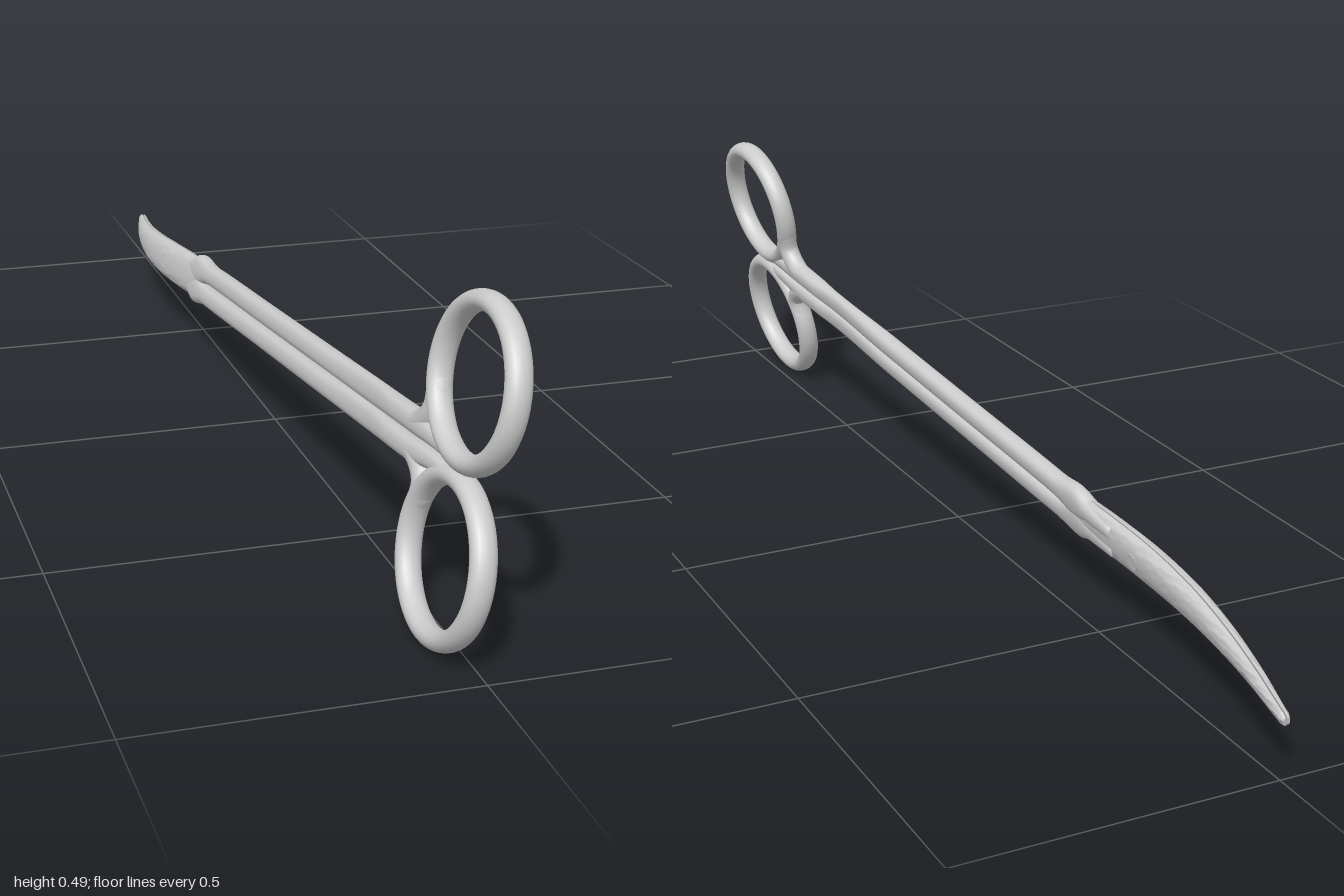
import * as THREE from 'three';
import { toCreasedNormals } from 'three/addons/utils/BufferGeometryUtils.js';

const steel = new THREE.MeshStandardMaterial({ color: 0xcccccc });
const TILT = 0.2; // lean of the scissor plane towards +x
const SIDE = new THREE.Vector3(1, -TILT, -0.03).normalize();

// Centre line of the closed shanks
const axisX = z => -0.022 + 0.04 * z;
const axisY = z => 0.1775 + 0.0836 * z;
const inPlane = (z, y) => new THREE.Vector3(axisX(z) + TILT * (y - axisY(z)), y, z);

// Sweep a section along stations { p, h, w }: h is half height, w half thickness.
// half = 0 gives a full oval; +1 or -1 keeps only that side, with a flat inner face.
function sweep(stations, { closed = false, half = 0, power = 1, steps = 48, sides = 20 } = {}) {
  const path = new THREE.CatmullRomCurve3(stations.map(s => s.p), closed);
  const size = new THREE.CatmullRomCurve3(stations.map(s => new THREE.Vector3(s.h, s.w, 0)), closed);
  const round = v => Math.sign(v) * Math.abs(v) ** power;
  const pos = [], index = [];
  const addRing = (t, scale) => {
    const c = path.getPoint(t), d = path.getTangent(t), r = size.getPoint(t);
    const n = new THREE.Vector3().crossVectors(SIDE, d).normalize();
    for (let j = 0; j < sides; j++) {
      const a = j / sides * Math.PI * 2;
      let across = round(Math.sin(a)) * r.y;
      if (half) across = half * (0.0012 + Math.max(0, half * across));
      const q = c.clone().addScaledVector(n, round(Math.cos(a)) * r.x * scale)
        .addScaledVector(SIDE, across * scale);
      pos.push(q.x, q.y, q.z);
    }
  };
  if (!closed) addRing(0, 0);
  for (let i = 0; i < steps + (closed ? 0 : 1); i++) addRing(i / steps, 1);
  if (!closed) addRing(1, 0);
  const rings = pos.length / 3 / sides;
  for (let i = 0; i < (closed ? rings : rings - 1); i++) {
    for (let j = 0; j < sides; j++) {
      const k = (j + 1) % sides, m = (i + 1) % rings;
      const a = i * sides + j, b = i * sides + k, c = m * sides + j, e = m * sides + k;
      index.push(a, b, c, b, e, c);
    }
  }
  const g = new THREE.BufferGeometry();
  g.setAttribute('position', new THREE.Float32BufferAttribute(pos, 3));
  g.setIndex(index);
  g.computeVertexNormals();
  return g;
}

function add(group, name, geometry) {
  const mesh = new THREE.Mesh(geometry, steel);
  mesh.name = name;
  group.add(mesh);
  return mesh;
}

const planar = list => list.map(([z, y, h, w]) => ({ p: inPlane(z, y), h, w }));

// One handle: finger ring, fillet into the shank, and the long shank
function handle(name, ring, fillet, root, dir) {
  const group = new THREE.Group();
  group.name = name;
  const loop = [];
  for (let i = 0; i < 24; i++) {
    const a = i / 24 * Math.PI * 2;
    loop.push([ring.z + Math.cos(a) * ring.rz, ring.y + Math.sin(a) * ring.ry, 0.0155, 0.0195]);
  }
  add(group, 'fingerRing', sweep(planar(loop), { closed: true, steps: 72 }));
  add(group, 'ringFillet', sweep(planar(fillet), { steps: 24 }));
  const shank = [...root];
  for (const z of [0.6, 0.3, 0, -0.3, -0.4, -0.48]) {
    const offset = z < -0.35 ? 0.016 : 0.0195;
    shank.push([z, axisY(z) + dir * offset, z < -0.45 ? 0.012 : 0.0178, 0.0165]);
  }
  add(group, 'shank', sweep(planar(shank), { power: 0.8, steps: 60 }));
  return group;
}

export function createModel() {
  const model = new THREE.Group();
  model.name = 'scissors';

  model.add(handle('upperHandle',
    { z: 0.845, y: 0.366, rz: 0.123, ry: 0.108 },
    [[0.724, 0.345, 0.014, 0.018], [0.737, 0.295, 0.019, 0.0185],
      [0.705, 0.261, 0.018, 0.018], [0.63, 0.25, 0.014, 0.015]],
    [[0.85, 0.259, 0.011, 0.014], [0.77, 0.259, 0.014, 0.017], [0.7, 0.2555, 0.0175, 0.0175]], 1));
  model.add(handle('lowerHandle',
    { z: 0.8625, y: 0.125, rz: 0.122, ry: 0.1095 },
    [[0.742, 0.145, 0.014, 0.018], [0.751, 0.188, 0.019, 0.0185],
      [0.715, 0.212, 0.018, 0.018], [0.63, 0.209, 0.014, 0.015]],
    [[0.86, 0.234, 0.011, 0.014], [0.78, 0.229, 0.014, 0.017], [0.7, 0.217, 0.0175, 0.0175]], -1));

  // Pair of curved blades lying flat against each other
  const blade = [
    [-0.36, -0.037, 0.147, 0.034, 0.013], [-0.45, -0.0435, 0.14, 0.036, 0.017],
    [-0.56, -0.0505, 0.131, 0.0345, 0.0185], [-0.68, -0.0505, 0.121, 0.029, 0.0185],
    [-0.8, -0.04, 0.11, 0.021, 0.0155], [-0.9, -0.0245, 0.1, 0.014, 0.0115],
    [-0.97, -0.011, 0.0915, 0.0105, 0.008], [-0.992, -0.007, 0.089, 0.0095, 0.007],
    [-1, -0.0055, 0.088, 0.006, 0.0045],
  ].map(([z, x, y, h, w]) => ({ p: new THREE.Vector3(x, y, z), h, w }));
  for (const [name, half] of [['leftBlade', 1], ['rightBlade', -1]]) {
    const g = sweep(blade, { half, power: 0.85, steps: 64, sides: 28 });
    add(model, name, toCreasedNormals(g, 0.8));
  }

  // Nearly flush pivot screw through both blades
  const screw = add(model, 'pivotScrew', new THREE.CylinderGeometry(0.014, 0.014, 0.039, 24));
  screw.position.set(-0.0495, 0.132, -0.54);
  screw.quaternion.setFromUnitVectors(new THREE.Vector3(0, 1, 0), SIDE);

  return model;
}
